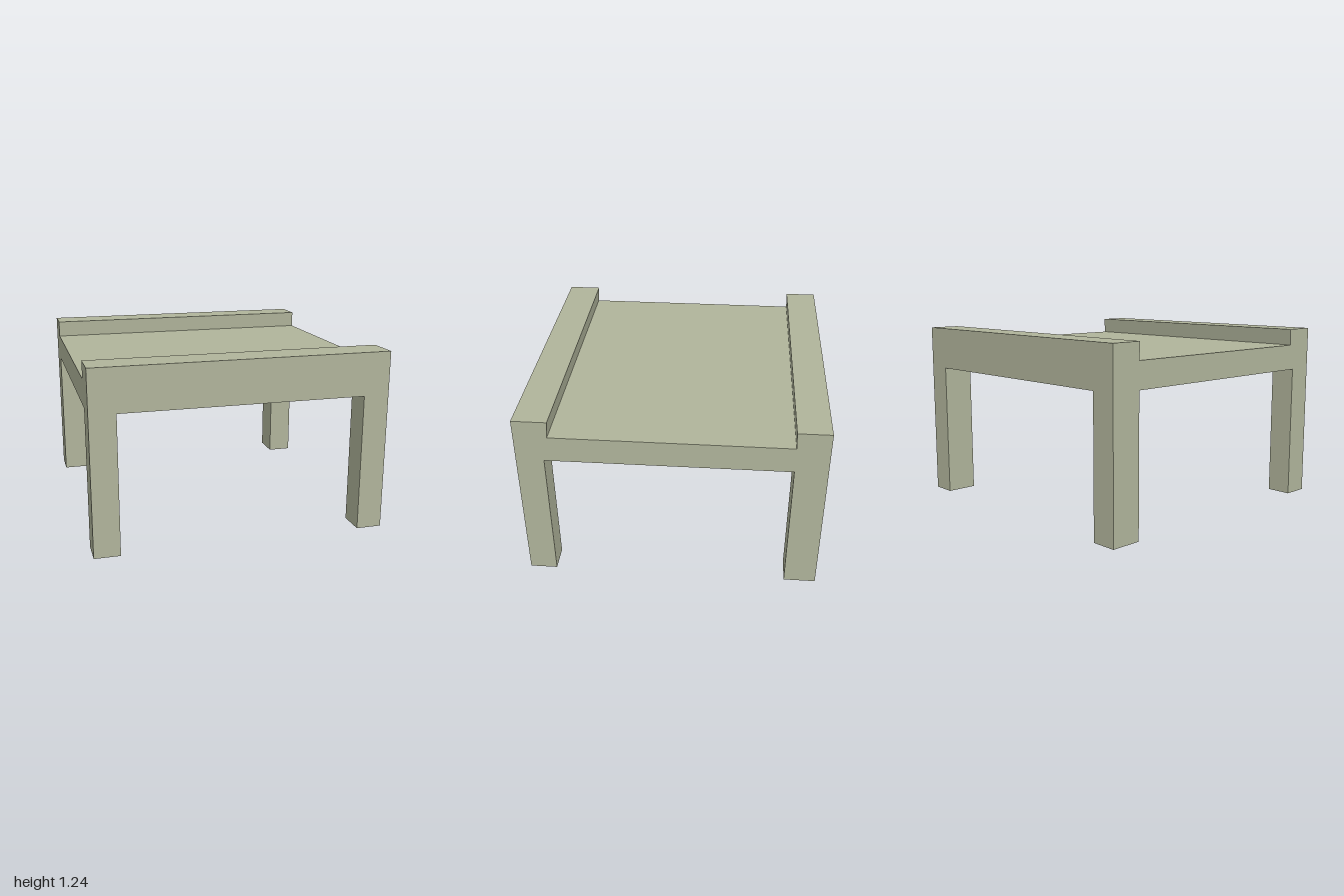
import * as THREE from 'three';

export function createModel() {
  const group = new THREE.Group();
  const material = new THREE.MeshStandardMaterial({ color: 0xb0b49b, flatShading: true });
  const underside = 0.945;

  // Top slab with a raised rail along front and back: side profile (z, y) extruded along x
  const profile = new THREE.Shape([
    [-1, underside], [1, underside], [1, 1.24], [0.77, 1.24],
    [0.78, 1.125], [-0.785, 1.125], [-0.78, 1.24], [-1, 1.24],
  ].map(([z, y]) => new THREE.Vector2(z, y)));
  const topGeometry = new THREE.ExtrudeGeometry(profile, { depth: 2, bevelEnabled: false });
  topGeometry.translate(0, 0, -1).rotateY(-Math.PI / 2);
  const top = new THREE.Mesh(topGeometry, material);
  top.name = 'tableTop';
  group.add(top);

  // Four square legs, flush with the outer corners; the back pair is slightly deeper
  const legWidth = 0.175;
  for (const [end, side, depth] of [['front', 1, 0.185], ['back', -1, 0.215]]) {
    for (const [hand, sx] of [['Left', 1], ['Right', -1]]) {
      const leg = new THREE.Mesh(new THREE.BoxGeometry(legWidth, underside, depth), material);
      leg.position.set(sx * (1 - legWidth / 2), underside / 2, side * (1 - depth / 2));
      leg.name = `${end}${hand}Leg`;
      group.add(leg);
    }
  }
  return group;
}
